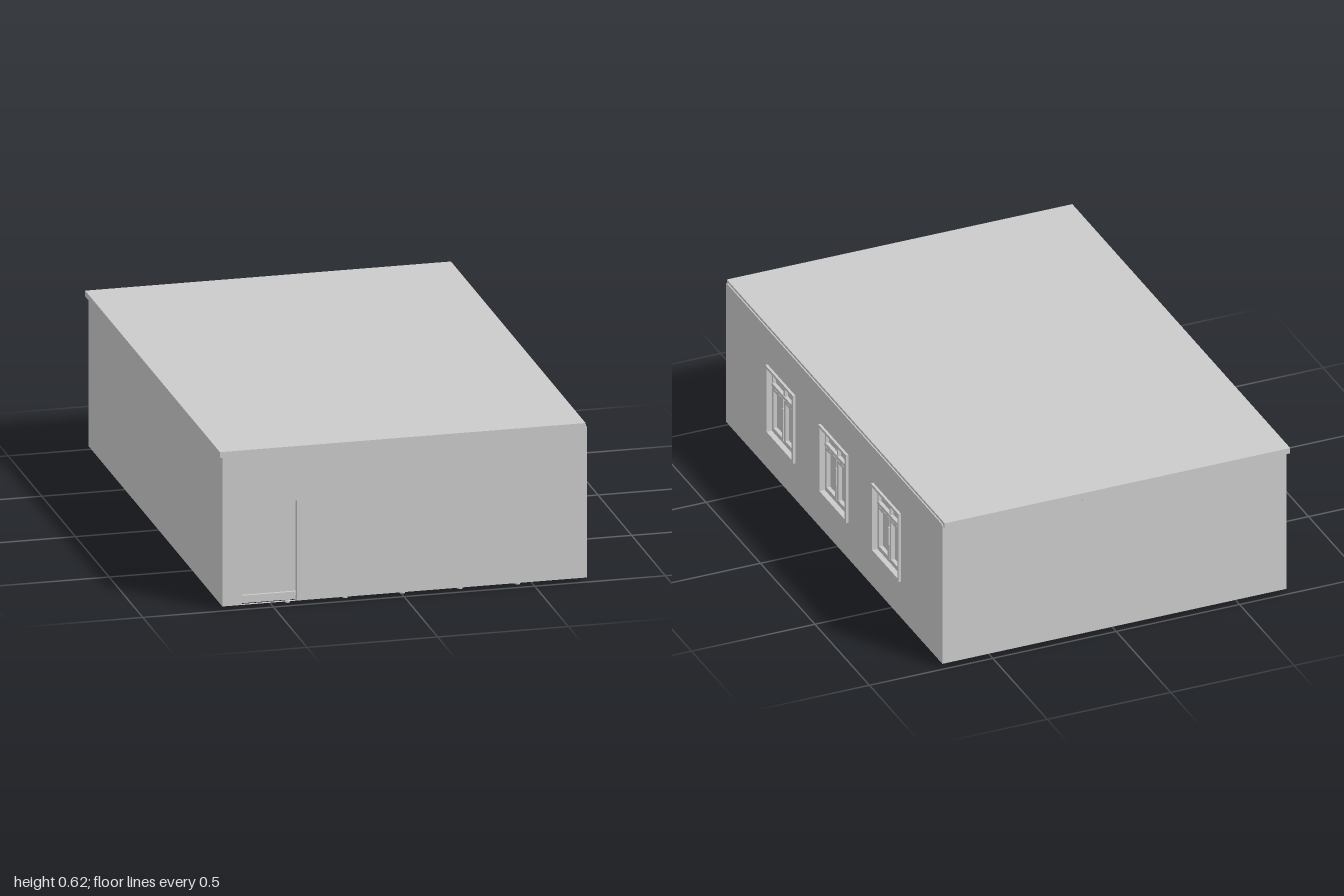
import * as THREE from 'three';

const mat = new THREE.MeshStandardMaterial({ color: 0xcccccc, flatShading: true });

function mesh(name, geo, parent) {
  const m = new THREE.Mesh(geo, mat);
  m.name = name;
  parent.add(m);
  return m;
}

// Box given by its min and max corners
function box(name, a, b, parent) {
  const m = mesh(name, new THREE.BoxGeometry(b[0] - a[0], b[1] - a[1], b[2] - a[2]), parent);
  m.position.set((a[0] + b[0]) / 2, (a[1] + b[1]) / 2, (a[2] + b[2]) / 2);
  return m;
}

function rect(Type, x0, y0, x1, y1) {
  const p = new Type();
  p.moveTo(x0, y0);
  p.lineTo(x1, y0);
  p.lineTo(x1, y1);
  p.lineTo(x0, y1);
  p.closePath();
  return p;
}

// Flat panel with rectangular holes, thickness running from z0 to z1
function panel(name, outer, holes, z0, z1, parent) {
  const s = rect(THREE.Shape, ...outer);
  holes.forEach((h) => s.holes.push(rect(THREE.Path, ...h)));
  const g = new THREE.ExtrudeGeometry(s, { depth: z1 - z0, bevelEnabled: false });
  return mesh(name, g.translate(0, 0, z0), parent);
}

// Window facing +z, centred on its own origin
function makeWindow() {
  const w = new THREE.Group();
  w.name = 'window';
  const X = 0.127, Y = 0.145, T = 0.065;
  const ring = (name, x0, y0, x1, y1, t, z0, z1) =>
    panel(name, [x0, y0, x1, y1], [[x0 + t, y0 + t, x1 - t, y1 - t]], z0, z1, w);
  ring('windowCasing', -X, -Y, X, Y, 0.011, -0.03, 0.01);
  ring('windowFrame', -X + 0.01, -Y + 0.01, X - 0.01, Y - 0.01, 0.012, -0.03, -0.012);
  box('glass', [-X + 0.01, -Y + 0.01, -0.03], [X - 0.01, Y - 0.01, -0.024], w);
  box('transom', [-X + 0.01, T - 0.007, -0.03], [X - 0.01, T + 0.007, -0.01], w);
  box('mullion', [-0.006, -Y + 0.01, -0.03], [0.006, Y - 0.01, -0.012], w);
  // Opening sashes either side of the mullion
  for (const s of [-1, 1]) {
    const a = s < 0 ? -0.105 : 0.004;
    ring('sash', a, -0.123, a + 0.101, T - 0.007, 0.012, -0.028, -0.009);
  }
  box('windowHandle', [-0.003, -0.055, -0.012], [0.003, 0.02, -0.004], w);
  return w;
}

// Cornice strip with a shallow dropped centre
function cornice(name, z0, z1, parent) {
  const s = new THREE.Shape([
    [-0.695, 0.597], [-0.15, 0.597], [-0.147, 0.587], [-0.13, 0.581],
    [0.115, 0.581], [0.135, 0.587], [0.14, 0.597], [0.694, 0.597],
    [0.694, 0.61], [-0.695, 0.61],
  ].map(([x, y]) => new THREE.Vector2(x, y)));
  const g = new THREE.ExtrudeGeometry(s, { depth: z1 - z0, bevelEnabled: false });
  mesh(name, g.translate(0, 0, z0), parent);
}

export function createModel() {
  const room = new THREE.Group();
  room.name = 'building';
  const base = 0.017, top = 0.605;
  const windowZ = [0.487, 0, -0.483], windowY = 0.315;

  // Walls
  panel('frontWall', [-0.695, base, 0.70, top], [[-0.62, base + 0.001, -0.41, 0.408]], 0.988, 0.998, room);
  box('backWall', [-0.695, base, -0.99], [0.70, top, -0.98], room);
  box('leftWall', [-0.695, base, -0.98], [-0.685, top, 0.988], room);
  const side = panel('rightWall', [-0.988, base, 0.98, 0.61],
    windowZ.map((z) => [-z - 0.12, windowY - 0.138, -z + 0.12, windowY + 0.138]), -0.01, 0, room);
  side.rotation.y = Math.PI / 2;
  side.position.x = 0.70;

  // Floor and roof
  box('floor', [-0.686, 0.036, -0.981], [0.691, 0.05, 0.989], room);
  box('roof', [-0.705, 0.597, -1], [0.695, 0.62, 1], room);
  cornice('backCornice', -1, -0.988, room);
  cornice('frontCornice', 0.99, 1, room);

  // Door set back in its opening
  box('door', [-0.63, base, 0.965], [-0.40, 0.42, 0.978], room);
  box('doorJamb', [-0.63, base, 0.97], [-0.62, 0.418, 0.99], room);
  box('doorJamb', [-0.41, base, 0.97], [-0.40, 0.418, 0.99], room);
  box('doorHead', [-0.62, 0.408, 0.97], [-0.41, 0.418, 0.99], room);

  // Windows along the right-hand elevation
  for (const z of windowZ) {
    const w = makeWindow();
    w.rotation.y = Math.PI / 2;
    w.position.set(0.70, windowY, z);
    room.add(w);
  }

  // Round feet around the perimeter
  const footGeo = new THREE.CylinderGeometry(0.01, 0.01, 0.04, 12);
  const foot = (x, z) => mesh('foot', footGeo, room).position.set(x, 0.02, z);
  for (let i = 0; i < 9; i++) {
    foot(0.645, 0.835 - i * 0.2155);
    foot(-0.65, 0.905 - i * 0.2155);
  }
  for (let i = 0; i < 5; i++) {
    foot(0.445 - i * 0.22, 0.955);
    foot(0.415 - i * 0.215, -0.945);
  }
  return room;
}
